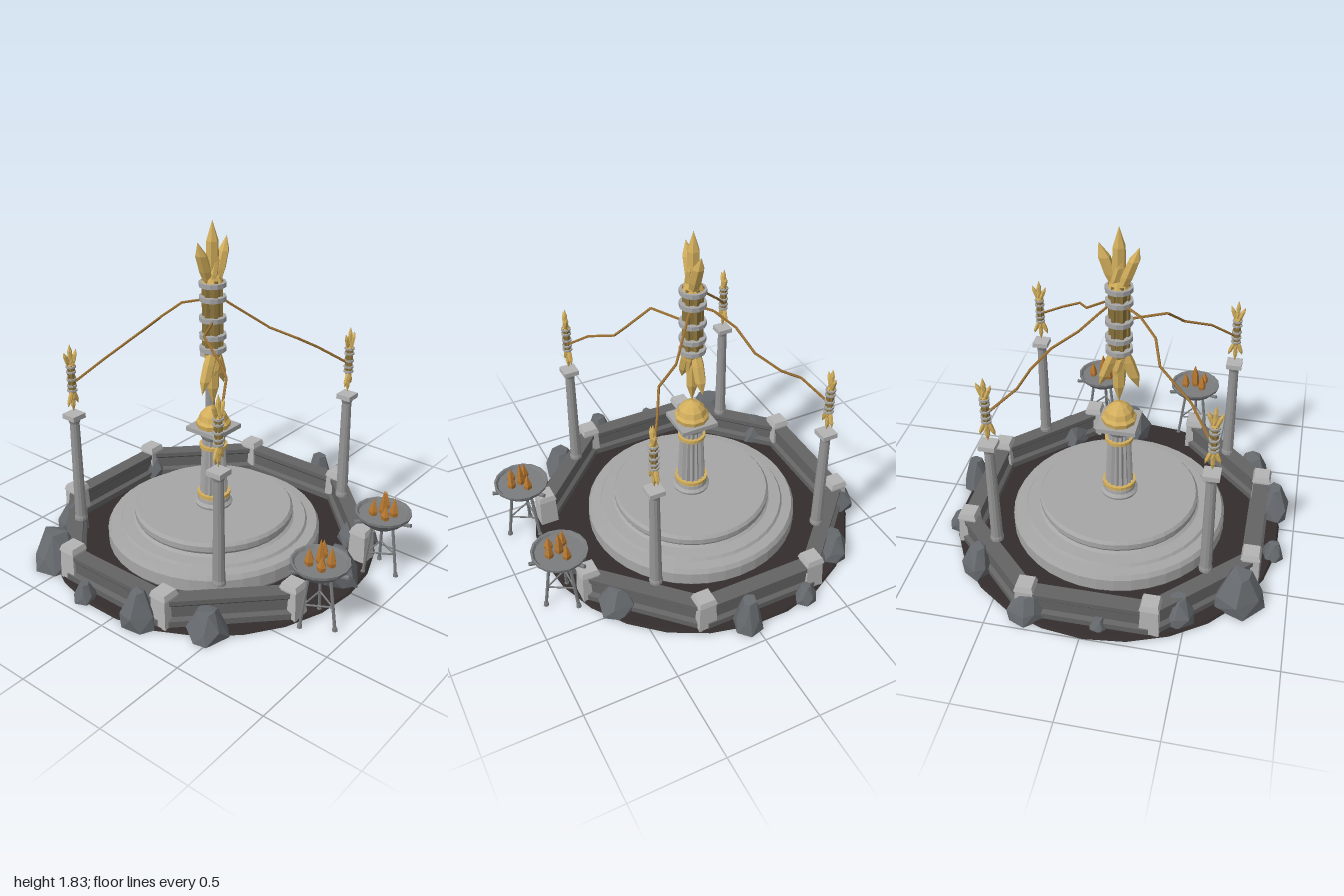
import * as THREE from 'three';
import { ConvexGeometry } from 'three/addons/geometries/ConvexGeometry.js';

const paint = (color) => new THREE.MeshStandardMaterial({ color, flatShading: true, side: THREE.DoubleSide });
const MAT = {
  stone: paint(0xa6a6a6), post: paint(0xb4b4b4), wall: paint(0x636363), rock: paint(0x666a6e),
  ground: paint(0x332e2d), gold: paint(0xd2ae5c), shaft: paint(0x8a733c), wire: paint(0x9a7034),
  iron: paint(0x7a7c7e), flame: paint(0xb87830), column: paint(0x959595),
};

let seed = 7;
const rand = () => (seed = (seed * 16807) % 2147483647) / 2147483647;

function add(parent, name, geo, mat, x = 0, y = 0, z = 0) {
  const m = new THREE.Mesh(geo, mat);
  m.name = name;
  m.position.set(x, y, z);
  parent.add(m);
  return m;
}
function group(parent, name, x = 0, y = 0, z = 0) {
  const g = new THREE.Group();
  g.name = name;
  g.position.set(x, y, z);
  parent.add(g);
  return g;
}
const lathe = (pts, n) => new THREE.LatheGeometry(pts.map((p) => new THREE.Vector2(...p)), n);
const cyl = (top, bottom, h, n) => new THREE.CylinderGeometry(top, bottom, h, n);

// straight round bar between two points
function bar(parent, name, a, b, r, mat, n = 6) {
  const A = new THREE.Vector3(...a), B = new THREE.Vector3(...b);
  const m = add(parent, name, cyl(r, r, A.distanceTo(B), n), mat);
  m.position.copy(A).lerp(B, 0.5);
  m.quaternion.setFromUnitVectors(new THREE.Vector3(0, 1, 0), B.sub(A).normalize());
}

// faceted shard whose rings slide sideways toward a leaning tip
function shard(w, h, lean) {
  const g = lathe([[0, 0], [w * 0.75, 0], [w, h * 0.3], [w * 0.92, h * 0.68], [0, h]], 6);
  const p = g.attributes.position;
  for (let i = 0; i < p.count; i++) p.setX(i, p.getX(i) + lean * p.getY(i) / h);
  g.computeVertexNormals();
  return g;
}

// bound bundle of crystals, centred on its own origin
function crystalBundle(parent, name, x, y, z, scale) {
  const b = group(parent, name, x, y, z);
  b.scale.setScalar(scale);
  add(b, 'shaft', cyl(0.046, 0.046, 0.42, 8), MAT.shaft);
  for (let i = 0; i < 6; i++) {
    const a = i * Math.PI / 3;
    add(b, 'shaftRod', cyl(0.015, 0.015, 0.4, 5), MAT.shaft, 0.042 * Math.cos(a), 0, 0.042 * Math.sin(a));
  }
  for (const ry of [-0.175, -0.105, -0.01, 0.1, 0.175])
    add(b, 'band', cyl(0.072, 0.072, 0.025, 12), MAT.stone, 0, ry);
  for (const s of [1, -1]) {
    const end = group(b, s > 0 ? 'upperCrystals' : 'lowerCrystals');
    end.rotation.z = s > 0 ? 0 : Math.PI;
    add(end, 'collar', cyl(0.042, 0.062, 0.04, 8), MAT.gold, 0, 0.2);
    add(end, 'centreShard', shard(0.036, 0.33, 0), MAT.gold, 0, 0.175);
    for (const side of [1, -1]) {
      add(end, 'sideShard', shard(0.034, 0.23, side * 0.085), MAT.gold, side * 0.018, 0.18, side * 0.01);
      add(end, 'innerShard', shard(0.022, 0.17, side * -0.05), MAT.gold, side * 0.03, 0.18, side * -0.018);
    }
  }
}

// lumpy boulder built as a hull of three shrinking rings
function rock(parent, x, z, r, h) {
  const pts = [];
  for (const [k, y] of [[1, 0], [0.92, 0.4], [0.45, 1]])
    for (let i = 0; i < 6; i++) {
      const a = (i + rand() * 0.5 + y) * Math.PI / 3, q = r * k * (0.85 + rand() * 0.25);
      pts.push(new THREE.Vector3(q * Math.cos(a), h * y * (0.92 + rand() * 0.08), q * Math.sin(a)));
    }
  add(parent, 'rock', new ConvexGeometry(pts), MAT.rock, x, 0, z);
}

function brazier(parent, x, z) {
  const b = group(parent, 'brazier', x, 0, z);
  add(b, 'bowl', lathe([[0, 0.27], [0.06, 0.275], [0.115, 0.315], [0.147, 0.35], [0.149, 0.365],
    [0.138, 0.365], [0.128, 0.352], [0, 0.352]], 16), MAT.iron);
  for (let i = 0; i < 3; i++) {
    const a = Math.PI / 2 + i * Math.PI * 2 / 3, c = Math.cos(a), s = Math.sin(a);
    bar(b, 'leg', [0.062 * c, 0.285, 0.062 * s], [0.1 * c, 0.008, 0.1 * s], 0.009, MAT.iron);
    add(b, 'foot', cyl(0.012, 0.015, 0.02, 6), MAT.iron, 0.1 * c, 0.01, 0.1 * s);
    bar(b, 'handle', [0.11 * c, 0.325, 0.11 * s], [0.165 * c, 0.338, 0.165 * s], 0.011, MAT.iron);
    const a2 = a + Math.PI * 2 / 3;
    bar(b, 'brace', [0.083 * c, 0.13, 0.083 * s], [0.083 * Math.cos(a2), 0.13, 0.083 * Math.sin(a2)], 0.005, MAT.iron);
  }
  for (const [fx, fz, top] of [[-0.045, -0.035, 0.45], [0, 0, 0.49], [0.058, -0.02, 0.45], [-0.05, 0.04, 0.43], [0.01, 0.057, 0.46]])
    add(b, 'flame', lathe([[0.018, 0.34], [0.025, 0.375], [0.015, 0.345 + (top - 0.345) * 0.6], [0, top]], 5), MAT.flame, fx, 0, fz);
}

export function createModel() {
  const model = new THREE.Group();
  model.name = 'shrine';
  const site = group(model, 'site', -0.015, 0, -0.09);

  // ground and stepped round platform
  add(site, 'ground', cyl(0.9, 0.91, 0.012, 26), MAT.ground, 0, 0.006);
  add(site, 'platform', lathe([[0.58, 0.01], [0.595, 0.03], [0.595, 0.1], [0.58, 0.125], [0.525, 0.13], [0.515, 0.145],
    [0.45, 0.148], [0.435, 0.16], [0.443, 0.175], [0.443, 0.205], [0.43, 0.222], [0, 0.222]], 40), MAT.stone);

  // octagonal wall, open at the front, with a post on each corner
  const profile = new THREE.Shape([[-0.055, 0.01], [0.055, 0.01], [0.055, 0.045], [0.035, 0.06], [0.035, 0.12], [0.043, 0.13],
    [0.043, 0.155], [-0.043, 0.155], [-0.043, 0.13], [-0.035, 0.12], [-0.035, 0.06], [-0.055, 0.045]]
    .map((p) => new THREE.Vector2(...p)));
  const wallGeo = new THREE.ExtrudeGeometry(profile, { depth: 0.64, bevelEnabled: false }).translate(0, 0, -0.32);
  const postGeo = cyl(0.064, 0.073, 0.165, 4).rotateY(Math.PI / 4);
  const capGeo = cyl(0.06, 0.073, 0.03, 4).rotateY(Math.PI / 4);
  for (let i = 0; i < 8; i++) {
    const a = i * Math.PI / 4, c = a + Math.PI / 8;
    if (i !== 2) add(site, 'wall', wallGeo, MAT.wall, 0.775 * Math.cos(a), 0, 0.775 * Math.sin(a)).rotation.y = -a;
    const px = 0.839 * Math.cos(c), pz = 0.839 * Math.sin(c);
    add(site, 'post', postGeo, MAT.post, px, 0.09, pz);
    add(site, 'postCap', capGeo, MAT.post, px, 0.185, pz);
  }

  // boulders scattered around the wall: x, z, radius, height
  for (const [x, z, r, h] of [[-0.46, -0.77, 0.09, 0.16], [0.3, -0.88, 0.11, 0.15], [0.64, -0.64, 0.09, 0.17],
    [-0.75, -0.59, 0.14, 0.2], [-0.9, -0.22, 0.06, 0.1], [-0.87, 0.13, 0.095, 0.2], [-0.72, 0.45, 0.11, 0.15],
    [0.055, 0.7, 0.11, 0.2], [0.44, 0.58, 0.11, 0.15], [0.87, 0.03, 0.085, 0.2], [0.85, -0.33, 0.06, 0.1], [-0.08, -0.91, 0.05, 0.07]])
    rock(model, x, z, r, h);

  // central fluted pedestal
  const pedestal = group(site, 'pedestal');
  add(pedestal, 'base', lathe([[0.1, 0.215], [0.105, 0.235], [0.09, 0.25], [0.088, 0.27], [0, 0.27]], 20), MAT.stone);
  const fluted = cyl(0.062, 0.08, 0.4, 32), fp = fluted.attributes.position;
  for (let i = 0; i < fp.count; i++) {
    const k = Math.round(Math.atan2(fp.getZ(i), fp.getX(i)) / (Math.PI / 16));
    const f = Math.abs(k) % 2 ? 0.86 : 1;
    fp.setX(i, fp.getX(i) * f).setZ(i, fp.getZ(i) * f);
  }
  add(pedestal, 'flutedShaft', fluted, MAT.stone, 0, 0.45);
  add(pedestal, 'lowerBand', cyl(0.092, 0.092, 0.02, 20), MAT.gold, 0, 0.288);
  add(pedestal, 'upperBand', cyl(0.077, 0.077, 0.02, 20), MAT.gold, 0, 0.583);
  add(pedestal, 'capital', lathe([[0.062, 0.625], [0.075, 0.645], [0.093, 0.675], [0, 0.675]], 16), MAT.stone);
  add(pedestal, 'slab', new THREE.BoxGeometry(0.212, 0.025, 0.212), MAT.stone, 0, 0.688);
  add(pedestal, 'dome', lathe([[0.092, 0.7], [0.096, 0.725], [0.082, 0.74], [0.072, 0.77], [0.045, 0.798], [0, 0.818]], 10), MAT.gold);

  // crystal bundles on the pedestal and on four slim columns
  crystalBundle(site, 'mainCrystal', 0, 1.325, 0, 1);
  for (const x of [-0.57, 0.545])
    for (const z of [-0.58, 0.4]) {
      const col = group(model, 'column', x, 0, z);
      add(col, 'columnShaft', lathe([[0, 0.19], [0.036, 0.19], [0.036, 0.205], [0.032, 0.22], [0.026, 0.775], [0.036, 0.8], [0, 0.8]], 12), MAT.column);
      add(col, 'columnCap', new THREE.BoxGeometry(0.085, 0.027, 0.085), MAT.post, 0, 0.816);
      crystalBundle(col, 'smallCrystal', 0, 1.03, 0, 0.375);
    }

  // jagged wires linking the main crystal to the small ones
  const wires = [
    [[-0.05, 1.31, -0.06], [-0.24, 1.31, 0.04], [-0.27, 1.22, 0.16], [-0.3, 1.16, 0.23], [-0.44, 1.1, 0.32], [-0.56, 1, 0.4]],
    [[-0.04, 1.42, -0.11], [-0.14, 1.41, -0.19], [-0.23, 1.34, -0.26], [-0.27, 1.25, -0.36], [-0.44, 1.13, -0.46], [-0.56, 1, -0.58]],
    [[0.02, 1.42, -0.06], [0.06, 1.38, -0.02], [0.2, 1.25, 0.11], [0.27, 1.2, 0.24], [0.38, 1.13, 0.3], [0.54, 1.01, 0.4]],
    [[0.02, 1.42, -0.11], [0.06, 1.4, -0.17], [0.15, 1.33, -0.25], [0.28, 1.24, -0.29], [0.37, 1.16, -0.39], [0.41, 1.11, -0.49], [0.54, 1.01, -0.58]],
  ];
  for (const w of wires) {
    const g = group(model, 'wire');
    for (let i = 1; i < w.length; i++) bar(g, 'wireSegment', w[i - 1], w[i], 0.007, MAT.wire, 5);
  }

  // fire bowls flanking the entrance
  brazier(model, -0.31, 0.82);
  brazier(model, 0.28, 0.82);
  return model;
}
